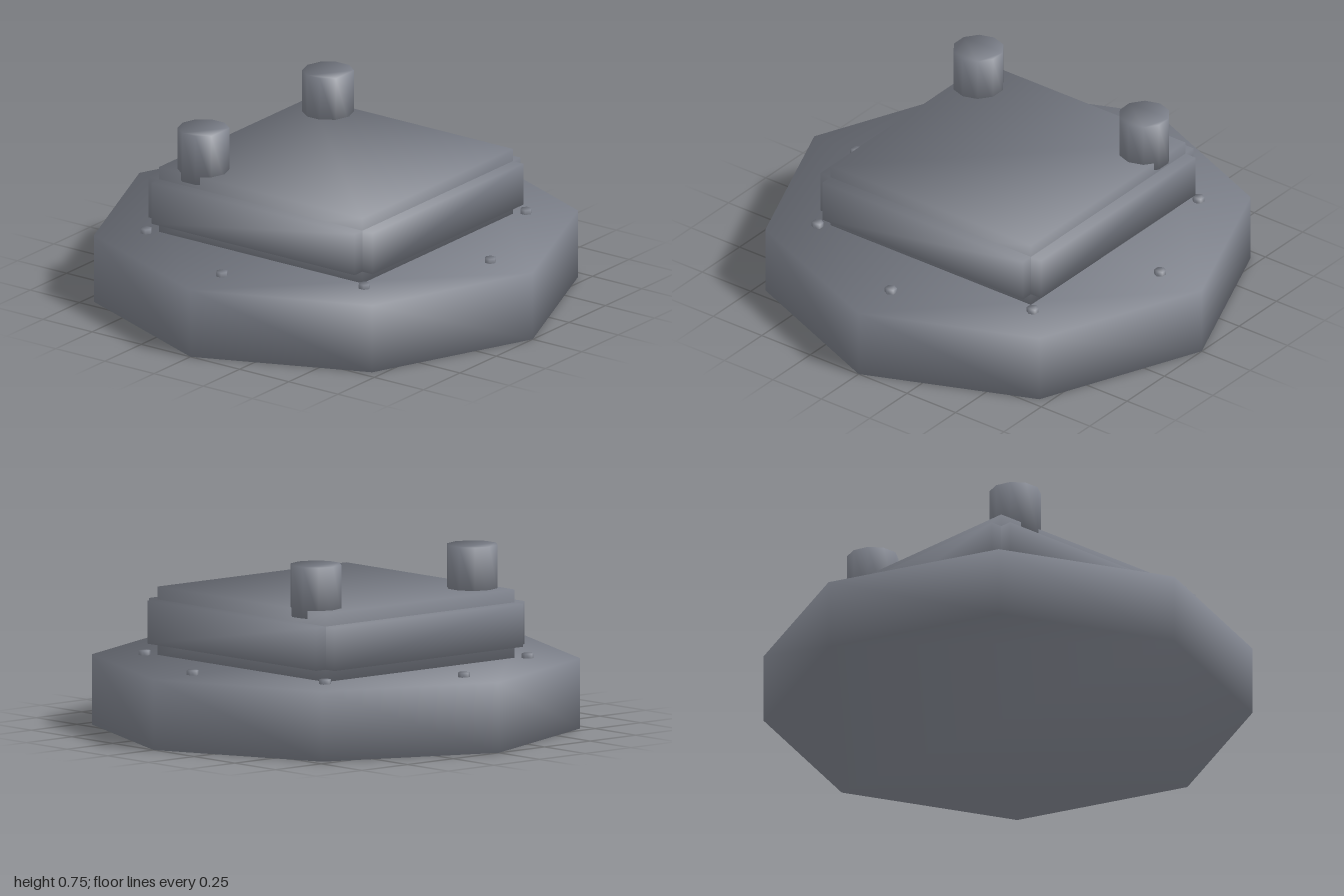
import * as THREE from 'three';
import { mergeVertices } from 'three/addons/utils/BufferGeometryUtils.js';

const material = new THREE.MeshStandardMaterial({ color: 0x7d818b });

// Share corner vertices and point each normal outwards and up or down,
// so the shading runs softly over every edge
function soften(geometry) {
  geometry.deleteAttribute('normal');
  geometry.deleteAttribute('uv');
  const merged = mergeVertices(geometry, 1e-4);
  const position = merged.attributes.position;
  const normals = new Float32Array(position.count * 3);
  const normal = new THREE.Vector3();
  for (let i = 0; i < position.count; i++) {
    normal.set(position.getX(i), 0, position.getZ(i)).normalize();
    normal.y = Math.sign(position.getY(i)) * 0.7;
    normal.normalize().toArray(normals, i * 3);
  }
  merged.setAttribute('normal', new THREE.BufferAttribute(normals, 3));
  return merged;
}

// Upright prism with a corner on the z axis and plain flat ends
function prism(sides, radius, height) {
  const corners = [];
  for (let i = 0; i < sides; i++) {
    const a = Math.PI / 2 + (i * 2 * Math.PI) / sides;
    corners.push(new THREE.Vector2(Math.cos(a) * radius, Math.sin(a) * radius));
  }
  return new THREE.ExtrudeGeometry(new THREE.Shape(corners), { depth: height, bevelEnabled: false })
    .translate(0, 0, -height / 2)
    .rotateX(-Math.PI / 2);
}

function addPart(parent, name, geometry, x, y, z) {
  const mesh = new THREE.Mesh(soften(geometry), material);
  mesh.name = name;
  mesh.position.set(x, y, z);
  parent.add(mesh);
}

export function createModel() {
  const model = new THREE.Group();
  model.name = 'hatch';

  // Octagonal base plate with corners on the axes
  const baseHeight = 0.29;
  addPart(model, 'base', prism(8, 1, baseHeight), 0, baseHeight / 2, 0);

  // Housing with stepped edges: three crossing blocks
  const housing = new THREE.Group();
  housing.name = 'housing';
  housing.position.y = 0.43;
  model.add(housing);
  const inner = 1.034, outer = 1.14;
  addPart(housing, 'housingCore', new THREE.BoxGeometry(inner, 0.284, inner), 0, 0, 0);
  addPart(housing, 'housingSides', new THREE.BoxGeometry(outer, 0.178, inner), 0, 0, 0);
  addPart(housing, 'housingEnds', new THREE.BoxGeometry(inner, 0.178, outer), 0, 0, 0);

  // Two short posts towards the back
  for (const side of [-1, 1]) {
    addPart(model, side > 0 ? 'leftPost' : 'rightPost',
      prism(10, 0.106, 0.212), side * 0.428, 0.645, -0.357);
  }

  // Ring of bolts on the base plate
  const bolts = new THREE.Group();
  bolts.name = 'bolts';
  model.add(bolts);
  for (let i = 0; i < 8; i++) {
    const a = (i * Math.PI) / 4;
    addPart(bolts, 'bolt', prism(6, 0.025, 0.04),
      Math.sin(a) * 0.785, 0.289, Math.cos(a) * 0.785);
  }

  return model;
}
